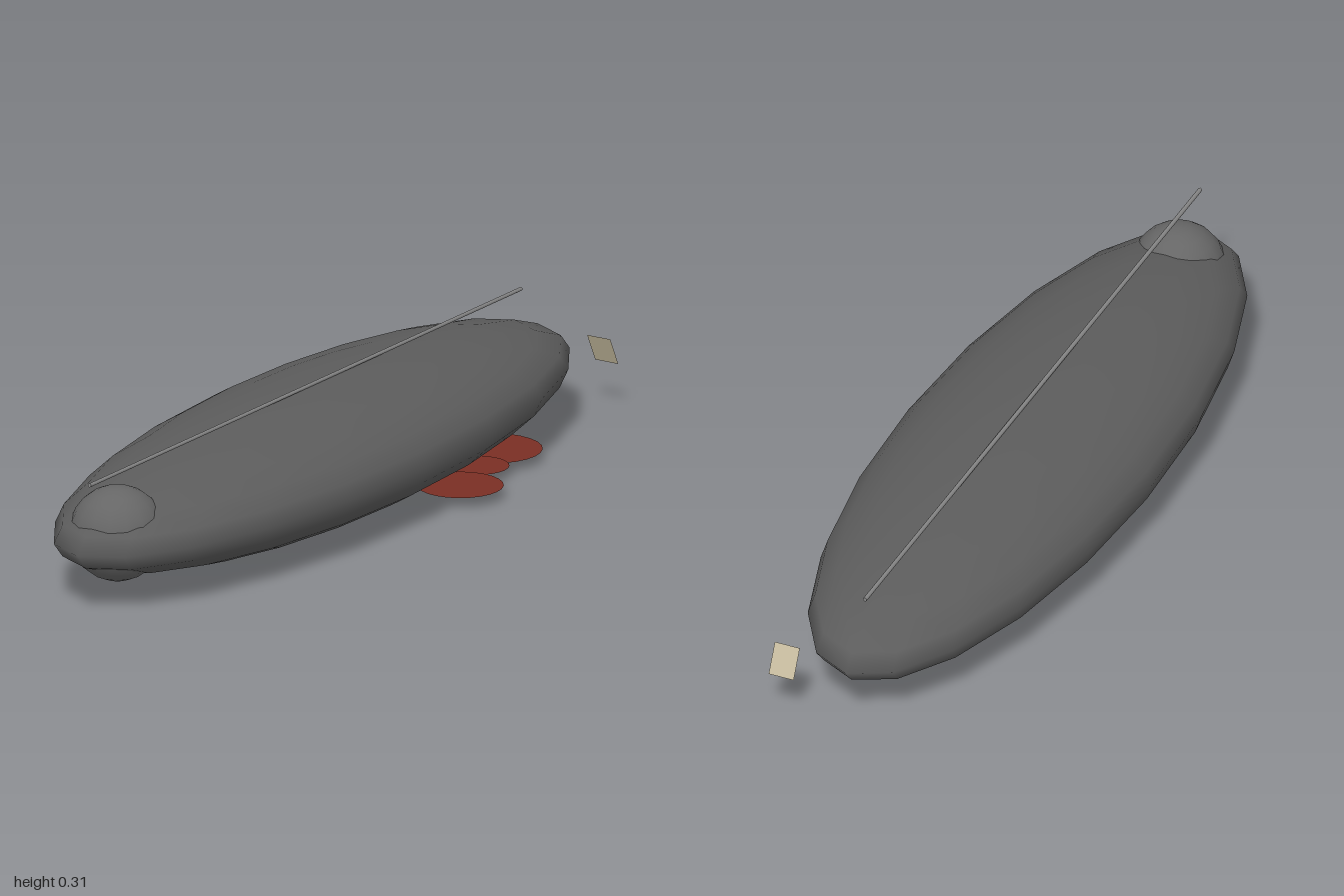
import * as THREE from 'three';

export function createModel() {
  const group = new THREE.Group();
  const X = -0.016; // centre line of the body

  const add = (name, geometry, color, side = THREE.FrontSide) => {
    const mesh = new THREE.Mesh(geometry, new THREE.MeshStandardMaterial({ color, side }));
    mesh.name = name;
    group.add(mesh);
    return mesh;
  };

  // Long flattened body
  const body = add('body', new THREE.SphereGeometry(1, 20, 12).scale(0.312, 0.146, 0.99), 0x5c5c5c);
  body.position.set(X, 0.146, 0.01);

  // Round head bulging out near the nose, above and below
  const head = add('head', new THREE.SphereGeometry(0.112, 16, 12), 0x666666);
  head.position.set(X, 0.158, 0.832);

  // Slim rod lying along the back, slightly raised at the front
  const front = new THREE.Vector3(X, 0.303, 0.95);
  const rear = new THREE.Vector3(X, 0.286, -0.875);
  const rod = add('rod', new THREE.CylinderGeometry(0.005, 0.005, front.distanceTo(rear), 6), 0x888888);
  rod.position.copy(front).add(rear).multiplyScalar(0.5);
  rod.quaternion.setFromUnitVectors(new THREE.Vector3(0, 1, 0), front.clone().sub(rear).normalize());

  // Small tilted tag behind the tail
  const tag = add('tag', new THREE.PlaneGeometry(0.063, 0.076), 0xc8bda0, THREE.DoubleSide);
  tag.position.set(0.138, 0.138, -0.982);
  tag.rotation.x = 0.46;

  // Flat red pool of overlapping discs: x, y, z, radius
  const pool = new THREE.Group();
  pool.name = 'pool';
  group.add(pool);
  for (const [x, y, z, r] of [
    [0.228, 0.027, -0.24, 0.1],
    [0.18, 0.0255, -0.39, 0.072],
    [0.137, 0.024, -0.52, 0.114],
  ]) {
    const disc = add('poolDisc', new THREE.CircleGeometry(r, 24).rotateX(-Math.PI / 2), 0x7a2e24, THREE.DoubleSide);
    disc.position.set(x, y, z);
    pool.add(disc);
  }

  return group;
}
